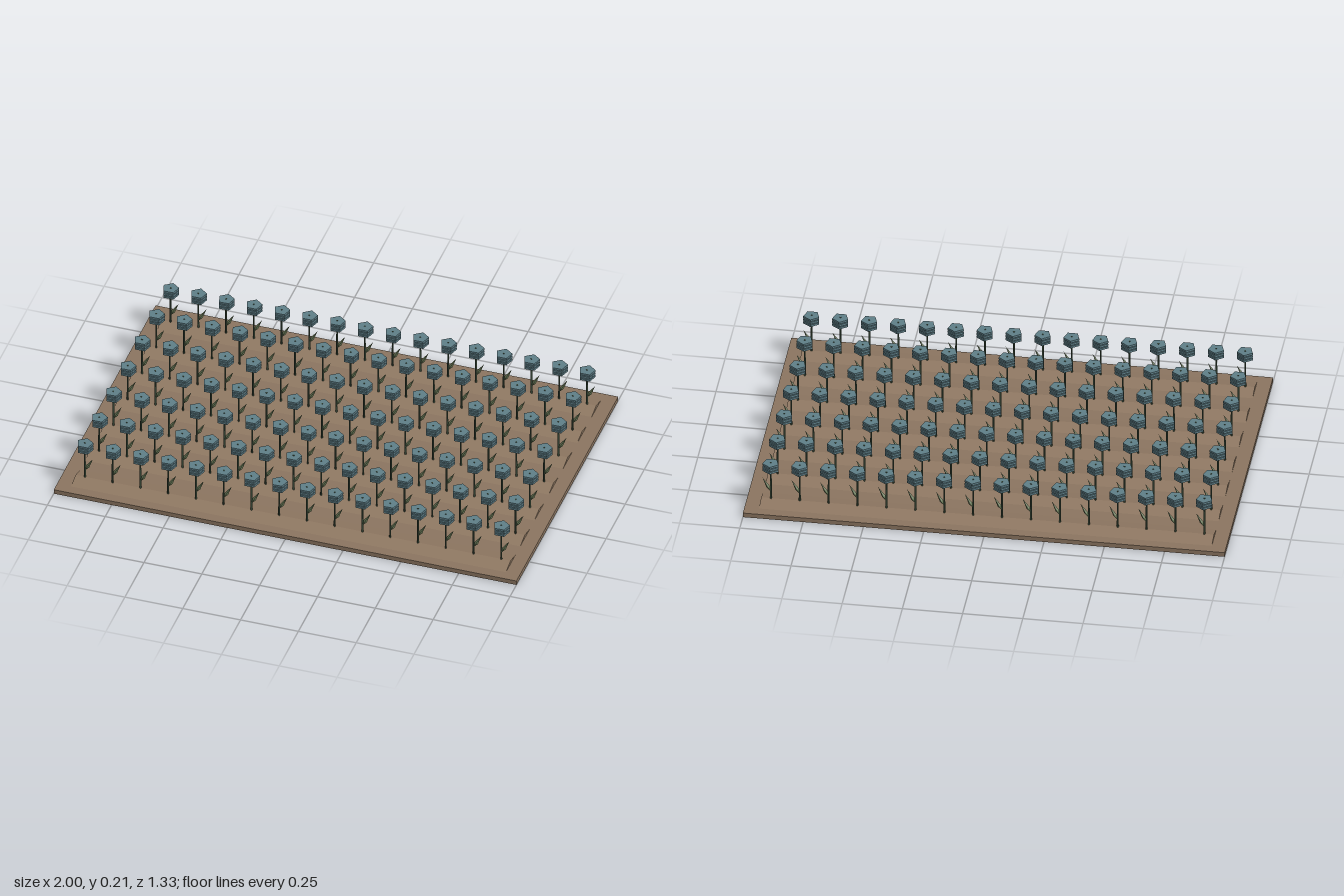
import * as THREE from 'three';

const ROWS = 7, COLS = 16, ROW_STEP = 0.187, COL_STEP = 0.12;
const flat = (color) => new THREE.MeshStandardMaterial({ color, flatShading: true });

function addMesh(parent, name, geometry, material, x = 0, y = 0, z = 0) {
  const mesh = new THREE.Mesh(geometry, material);
  mesh.name = name;
  mesh.position.set(x, y, z);
  parent.add(mesh);
  return mesh;
}

// Low triangular mound running along x
function ridgeGeometry(length, halfWidth, bottom, top) {
  const profile = new THREE.Shape();
  profile.moveTo(-halfWidth, bottom);
  profile.lineTo(halfWidth, bottom);
  profile.lineTo(0, top);
  profile.closePath();
  const g = new THREE.ExtrudeGeometry(profile, { depth: length, bevelEnabled: false });
  return g.translate(0, 0, -length / 2).rotateY(Math.PI / 2);
}

export function createModel() {
  const field = new THREE.Group();
  field.name = 'flowerField';
  const soil = flat(0x8b7560), ridgeSoil = flat(0x8f7862);
  const green = flat(0x40523f), leafGreen = flat(0x6f7f5c);
  const petal = flat(0x5f7f88);

  // Soil slab
  addMesh(field, 'soilBed', new THREE.BoxGeometry(2, 0.02, 1.333), soil, 0, 0.01, 0);

  // Shared plant parts
  const ridge = ridgeGeometry(1.88, 0.066, 0.019, 0.035);
  const stem = new THREE.CylinderGeometry(0.0035, 0.0045, 0.18, 5);
  const disc = new THREE.CylinderGeometry(0.035, 0.035, 0.009, 5).rotateY(Math.PI);
  const leaf = new THREE.LatheGeometry([
    new THREE.Vector2(0, 0), new THREE.Vector2(0.008, 0.028), new THREE.Vector2(0, 0.076),
  ], 4);

  // One flower: stem, slanting leaf and three stacked petal layers
  const plant = new THREE.Group();
  plant.name = 'flower';
  addMesh(plant, 'stem', stem, green, 0, 0.12, 0);
  addMesh(plant, 'leaf', leaf, leafGreen, -0.002, 0.066, 0).rotation.z = -0.5;
  for (let i = 0; i < 3; i++) {
    addMesh(plant, 'petalLayer', disc, petal, 0, 0.177 + i * 0.013, 0);
  }

  // Planted rows
  for (let r = 0; r < ROWS; r++) {
    const z = (r - (ROWS - 1) / 2) * ROW_STEP;
    addMesh(field, 'soilRidge', ridge, ridgeSoil, 0, 0, z);
    for (let c = 0; c < COLS; c++) {
      const flower = plant.clone();
      flower.position.set((c - (COLS - 1) / 2) * COL_STEP, 0, z);
      field.add(flower);
    }
  }
  return field;
}
